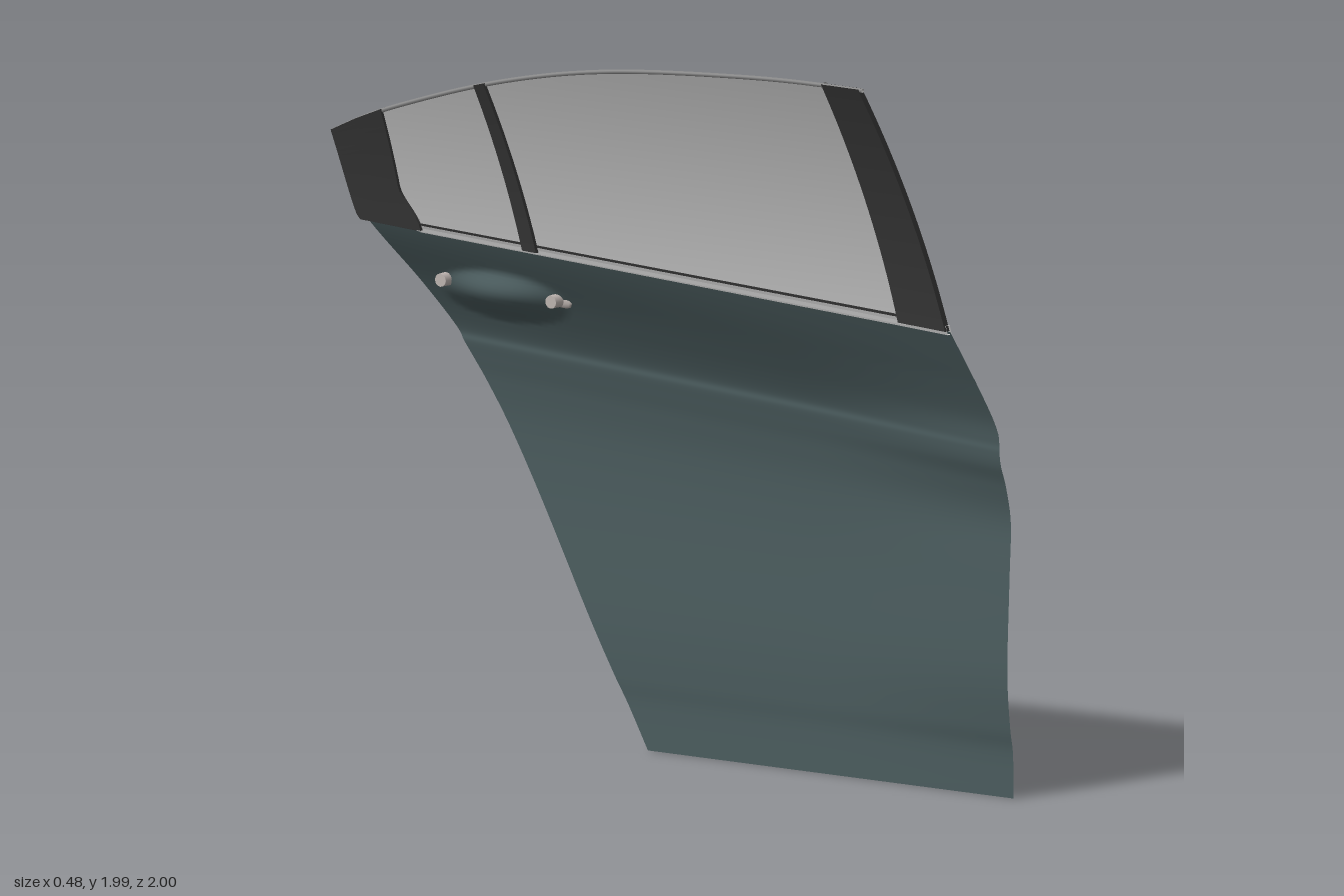
import * as THREE from 'three';

const { lerp, smoothstep } = THREE.MathUtils;
const mat = (color) => new THREE.MeshStandardMaterial({ color, side: THREE.DoubleSide });
const paint = mat(0x4b5c5e), dark = mat(0x3a3a3a), grey = mat(0xcccccc), handleMat = mat(0xbdb4b0), trim = mat(0x8c8c8c);

// Grid surface: fn(u, v) returns [x, y, z] for u, v in 0..1
function surface(name, material, nu, nv, fn) {
  const pos = [], idx = [];
  for (let j = 0; j <= nv; j++) {
    for (let i = 0; i <= nu; i++) {
      pos.push(...fn(i / nu, j / nv));
      if (i < nu && j < nv) {
        const a = j * (nu + 1) + i, b = a + nu + 1;
        idx.push(a, a + 1, b, a + 1, b + 1, b);
      }
    }
  }
  const g = new THREE.BufferGeometry();
  g.setAttribute('position', new THREE.Float32BufferAttribute(pos, 3));
  g.setIndex(idx);
  g.computeVertexNormals();
  const mesh = new THREE.Mesh(g, material);
  mesh.name = name;
  return mesh;
}

const spline = (pts) => new THREE.SplineCurve(pts.map(([a, b]) => new THREE.Vector2(a, b)));

// Door skin sections as (height, x): middle of the door and its front edge
const midSection = spline([[0, .228], [.12, .228], [.2, .222], [.35, .22], [.6, .23], [.75, .227], [.85, .212],
  [.91, .197], [.95, .187], [.98, .184], [1.04, .155], [1.13, .103], [1.2, .065], [1.29, .02]]);
const frontSection = spline([[0, .228], [.12, .226], [.2, .212], [.35, .2], [.6, .21], [.75, .216], [.85, .195],
  [.91, .172], [.95, .164], [.98, .163], [1.04, .15], [1.13, .11], [1.2, .075], [1.29, .03]]);

function skin(u, v) {
  const m = midSection.getPoint(v), f = frontSection.getPoint(v);
  const rise = .062 * smoothstep(m.x, .3, .95);
  const height = (z) => m.x + rise * (1 - z);
  let rear = -.5, front = 1;
  for (let i = 0; i < 8; i++) {
    rear = -.21 - .545 * height(rear);
    front = 1 - .22 * Math.max(0, height(front) - 1);
  }
  const z = lerp(front, rear, u), y = height(z);
  let x = lerp(m.y, f.y, smoothstep(z, .3, 1));
  x -= .012 * (1 - z) * smoothstep(m.x, 1.1, 1.29);
  // hollow behind the handle
  const d = ((z + .6) / .22) ** 2 + ((y - 1.215) / .075) ** 2;
  if (d < 1) x -= .06 * (1 - d) ** 1.5;
  return [x, y, z];
}

// Window surface, belt line and roof line
const windowX = (y, z) => {
  const h = y - 1.3;
  return .013 - .2 * h - .25 * h * h - .0165 * Math.max(0, .8 - z);
};
const beltY = (z) => 1.357 - .058 * z;
const roofLine = spline([[.84, 1.985], [.5, 1.983], [0, 1.945], [-.4, 1.868], [-.8, 1.745], [-1, 1.66]]);
const roofPts = roofLine.getPoints(100);
function roofY(z) {
  const i = Math.max(1, roofPts.findIndex((p) => p.x <= z));
  const a = roofPts[i - 1], b = roofPts[i];
  return lerp(a.y, b.y, (z - a.x) / (b.x - a.x));
}

// Curved bar with thickness between two side edges, each v -> z
function windowBar(name, zA, zB, outer, inner) {
  const ring = [[0, outer], [.5, outer], [1, outer], [1, inner], [.5, inner], [0, inner], [0, outer]];
  const bar = surface(name, dark, 6, 20, (u, v) => {
    const [s, off] = ring[Math.round(u * 6)];
    const z = lerp(zA(v), zB(v), s);
    const y = lerp(beltY(z) - .005, roofY(z), v);
    return [windowX(y, z) + off, y, z];
  });
  bar.geometry = bar.geometry.toNonIndexed();
  bar.geometry.computeVertexNormals();
  return bar;
}

// Slim moulding along a list of (z, y) points on the window surface
function moulding(name, material, pts, r, off = 0) {
  const curve = new THREE.CatmullRomCurve3(pts.map(([z, y]) => new THREE.Vector3(windowX(y, z) + off, y, z)));
  const mesh = new THREE.Mesh(new THREE.TubeGeometry(curve, 48, r, 6), material);
  mesh.name = name;
  return mesh;
}

// Belt strip: a flat rail following the belt line
function beltStrip(name, material, z0, z1, low, high, out) {
  const ring = [[0, low], [out, low], [out, high], [0, high], [0, low]];
  const strip = surface(name, material, 4, 24, (u, v) => {
    const [off, dy] = ring[Math.round(u * 4)];
    const z = lerp(z0, z1, v), y = beltY(z);
    return [windowX(y, z) + off - dy * .35, y + dy * lerp(1, .8, v), z];
  });
  strip.geometry = strip.geometry.toNonIndexed();
  strip.geometry.computeVertexNormals();
  return strip;
}

export function createModel() {
  const door = new THREE.Group();
  door.name = 'carDoor';
  door.add(surface('doorSkin', paint, 100, 90, skin));

  // Glass
  const frontZ = (v) => lerp(.78, .71, v);
  const cornerZ = (v) => -.765 - .05 * smoothstep(v, 0, .35);
  door.add(surface('windowGlass', grey, 40, 20, (u, v) => {
    const z = lerp(frontZ(v) + .02, cornerZ(v) - .02, u);
    const y = lerp(beltY(z) - .01, roofY(z), v);
    return [windowX(y, z), y, z];
  }));

  // Pillar, divider and rear corner
  door.add(windowBar('frontPillar', (v) => lerp(.935, .83, v), frontZ, .012, -.008));
  door.add(windowBar('windowDivider', (v) => lerp(-.39, -.44, v), (v) => lerp(-.435, -.475, v), .008, -.012));
  door.add(windowBar('rearCorner', cornerZ, (v) => lerp(-.96, -1, Math.sqrt(v)), .012, -.01));

  // Mouldings around the glass
  const steps = [...Array(13).keys()].map((i) => i / 12);
  const edge = (zAt) => steps.map((v) => {
    const z = zAt(v);
    return [z, lerp(beltY(z), roofY(z), v)];
  });
  door.add(moulding('roofMoulding', trim, roofPts.filter((p, i) => i % 5 === 0).map((p) => [p.x, p.y - .004]), .006));
  door.add(moulding('frontGlassMoulding', trim, edge(frontZ), .007, .008));
  door.add(moulding('rearGlassMoulding', trim, edge(cornerZ), .006, .008));

  // Belt line
  door.add(beltStrip('beltTrim', grey, .935, -.775, -.016, .01, .018));
  door.add(beltStrip('beltSeal', dark, .93, -.775, .01, .018, .01));
  door.add(beltStrip('rearBeltTrim', dark, -.77, -.965, -.01, .024, .03));

  // Handle: ellipses swept along a bowed path
  const handle = new THREE.Group();
  handle.name = 'doorHandle';
  handle.add(surface('handleGrip', handleMat, 16, 40, (u, v) => {
    const a = u * Math.PI * 2, bow = Math.sin(v * Math.PI);
    const end = Math.sqrt(Math.max(0, 1 - Math.abs(2 * v - 1) ** 10));
    return [
      lerp(.1, .096, v) + .024 * bow + .014 * end * Math.cos(a),
      lerp(1.222, 1.248, v) + .012 * bow + lerp(.027, .019, v) * end * Math.sin(a),
      lerp(-.365, -.812, v),
    ];
  }));
  // Mounts joining the grip to the skin
  for (const [z, y] of [[-.41, 1.225], [-.775, 1.245]]) {
    const mount = new THREE.Mesh(new THREE.CylinderGeometry(.018, .02, .05, 12), handleMat);
    mount.rotation.z = Math.PI / 2;
    mount.position.set(.085, y, z);
    mount.name = 'handleMount';
    handle.add(mount);
  }
  door.add(handle);
  return door;
}
